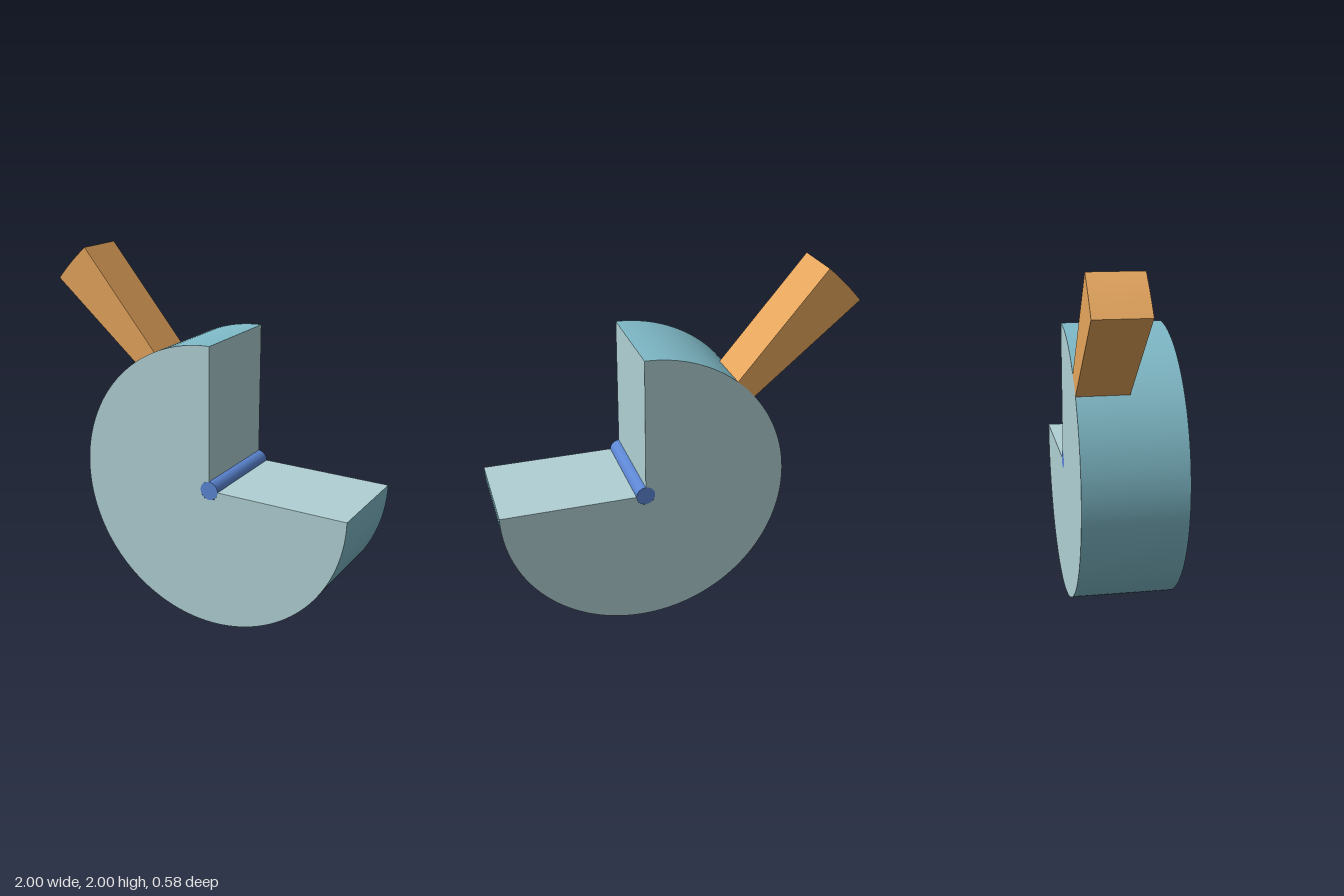
import * as THREE from 'three';

const R = 0.805, PIN = 0.053, HANDLE = 1.561, DEPTH = 0.576;
const deg = THREE.MathUtils.degToRad;

// Ring sector between two radii and two angles
function sector(r0, r1, a0, a1) {
  const s = new THREE.Shape();
  s.absarc(0, 0, r1, deg(a0), deg(a1), false);
  s.absarc(0, 0, r0, deg(a1), deg(a0), true);
  return s;
}

export function createModel() {
  const model = new THREE.Group();
  const mat = (color) => new THREE.MeshStandardMaterial({ color });
  const pale = mat(0xb0d0d4), teal = mat(0x7fbac8), orange = mat(0xe5a55c), blue = mat(0x5b85d2);
  const add = (name, geometry, material, parent) => {
    const mesh = new THREE.Mesh(geometry, material);
    mesh.name = name;
    parent.add(mesh);
    return mesh;
  };

  // Three-quarter disc: two faces, curved rim, two notch walls
  const disc = new THREE.Group();
  disc.name = 'disc';
  model.add(disc);
  const face = new THREE.ShapeGeometry(sector(PIN, R, 90, 360), 96);
  add('frontFace', face, pale, disc).position.z = DEPTH / 2;
  const back = add('backFace', face.clone().scale(-1, 1, 1).rotateY(Math.PI), pale, disc);
  back.position.z = -DEPTH / 2;
  // Mirroring keeps the outline; reverse the winding so the face looks backward
  const index = back.geometry.index.array;
  for (let i = 0; i < index.length; i += 3) [index[i + 1], index[i + 2]] = [index[i + 2], index[i + 1]];
  back.geometry.computeVertexNormals();
  add('rim', new THREE.CylinderGeometry(R, R, DEPTH, 96, 1, true, Math.PI, Math.PI * 1.5)
    .rotateX(Math.PI / 2), teal, disc);
  const wall = R - PIN, mid = (R + PIN) / 2;
  add('lowerNotchWall', new THREE.PlaneGeometry(wall, DEPTH).rotateX(-Math.PI / 2), pale, disc)
    .position.x = mid;
  add('upperNotchWall', new THREE.PlaneGeometry(DEPTH, wall).rotateY(Math.PI / 2), pale, disc)
    .position.y = mid;

  // Pivot pin through the centre
  add('pivotPin', new THREE.CylinderGeometry(PIN, PIN, DEPTH, 32).rotateX(Math.PI / 2), blue, model);

  // Flaring handle on the rear half of the rim
  const handle = new THREE.ExtrudeGeometry(sector(R, HANDLE, 130, 140),
    { depth: DEPTH / 2, bevelEnabled: false, curveSegments: 12 });
  add('handle', handle, orange, model).position.z = -DEPTH / 2;

  model.children.forEach((part) => { part.position.x += 0.195; part.position.y += R; });
  return model;
}
